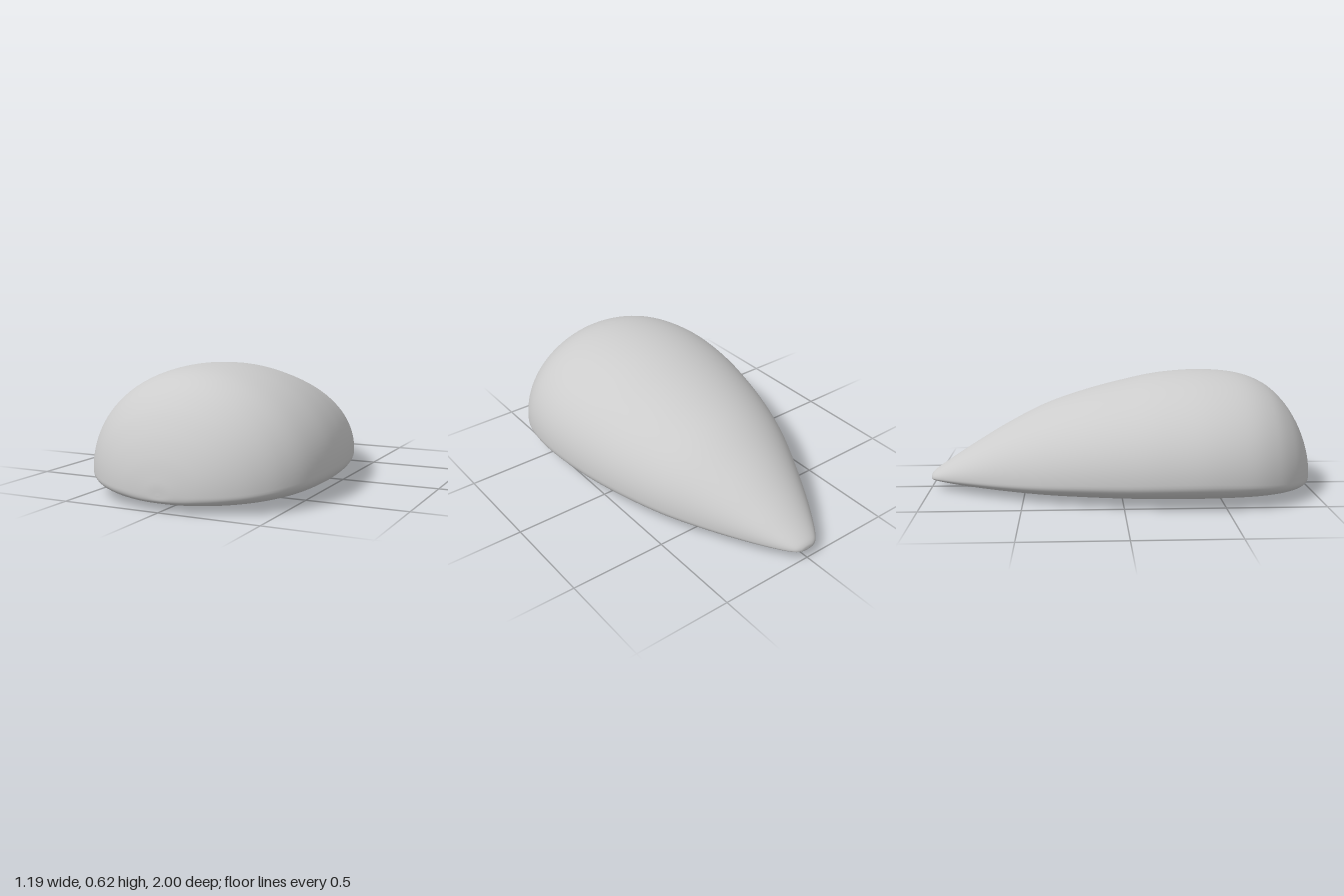
import * as THREE from 'three';

// Stations from nose (+z) to tail (-z): z, half width, top, waist height, underside
const STATIONS = [
  [1.0, 0.0, 0.075, 0.075, 0.075],
  [0.997, 0.08, 0.14, 0.08, 0.05],
  [0.975, 0.2, 0.245, 0.085, 0.036],
  [0.93, 0.315, 0.355, 0.09, 0.027],
  [0.86, 0.42, 0.46, 0.1, 0.02],
  [0.76, 0.508, 0.547, 0.115, 0.013],
  [0.62, 0.57, 0.6, 0.13, 0.007],
  [0.42, 0.595, 0.617, 0.14, 0.002],
  [0.2, 0.579, 0.601, 0.135, 0.0],
  [0.0, 0.542, 0.56, 0.125, 0.0],
  [-0.2, 0.487, 0.507, 0.115, 0.002],
  [-0.4, 0.412, 0.437, 0.1, 0.006],
  [-0.6, 0.312, 0.335, 0.085, 0.014],
  [-0.78, 0.211, 0.226, 0.075, 0.024],
  [-0.9, 0.134, 0.148, 0.067, 0.034],
  [-0.97, 0.08, 0.1, 0.061, 0.042],
  [-0.995, 0.043, 0.076, 0.058, 0.047],
  [-1.0, 0.0, 0.056, 0.056, 0.056],
];
const RINGS = 120;
const SIDES = 96;

const smoothCurve = (pick) =>
  new THREE.CatmullRomCurve3(STATIONS.map((s) => new THREE.Vector3(...pick(s))), false, 'catmullrom', 0.5);

function bodyGeometry() {
  const outline = smoothCurve(([z, w, top]) => [w, top, z]);
  const base = smoothCurve(([z, , , waist, under]) => [waist, under, z]);
  const positions = [];
  const index = [];

  // Cross-sections: elliptical dome above the waist, flatter rounded belly below
  for (let i = 0; i <= RINGS; i++) {
    const { x: w, y: top, z } = outline.getPoint(i / RINGS);
    const { x: waist, y: under } = base.getPoint(i / RINGS);
    for (let j = 0; j < SIDES; j++) {
      const a = (j / SIDES) * Math.PI * 2;
      const c = Math.cos(a);
      const s = Math.sin(a);
      const power = s >= 0 ? 1 : 0.8;
      const x = Math.sign(c) * Math.abs(c) ** power * w;
      const y = s >= 0 ? waist + s * (top - waist) : waist - Math.abs(s) ** power * (waist - under);
      positions.push(x, y, z);
    }
  }

  // Skin between neighbouring rings
  for (let i = 0; i < RINGS; i++) {
    for (let j = 0; j < SIDES; j++) {
      const k = (j + 1) % SIDES;
      const a = i * SIDES + j;
      const b = i * SIDES + k;
      if (i > 0) index.push(a, b + SIDES, b);
      if (i < RINGS - 1) index.push(a, a + SIDES, b + SIDES);
    }
  }

  const geometry = new THREE.BufferGeometry();
  geometry.setAttribute('position', new THREE.Float32BufferAttribute(positions, 3));
  geometry.setIndex(index);
  geometry.computeVertexNormals();
  return geometry;
}

export function createModel() {
  const group = new THREE.Group();
  group.name = 'teardropShell';
  const lightGrey = new THREE.MeshStandardMaterial({ color: 0xcccccc });
  lightGrey.name = 'lightGrey';

  // Single smooth body, blunt at the front and tapering to the tail
  const body = new THREE.Mesh(bodyGeometry(), lightGrey);
  body.name = 'body';
  group.add(body);
  return group;
}
